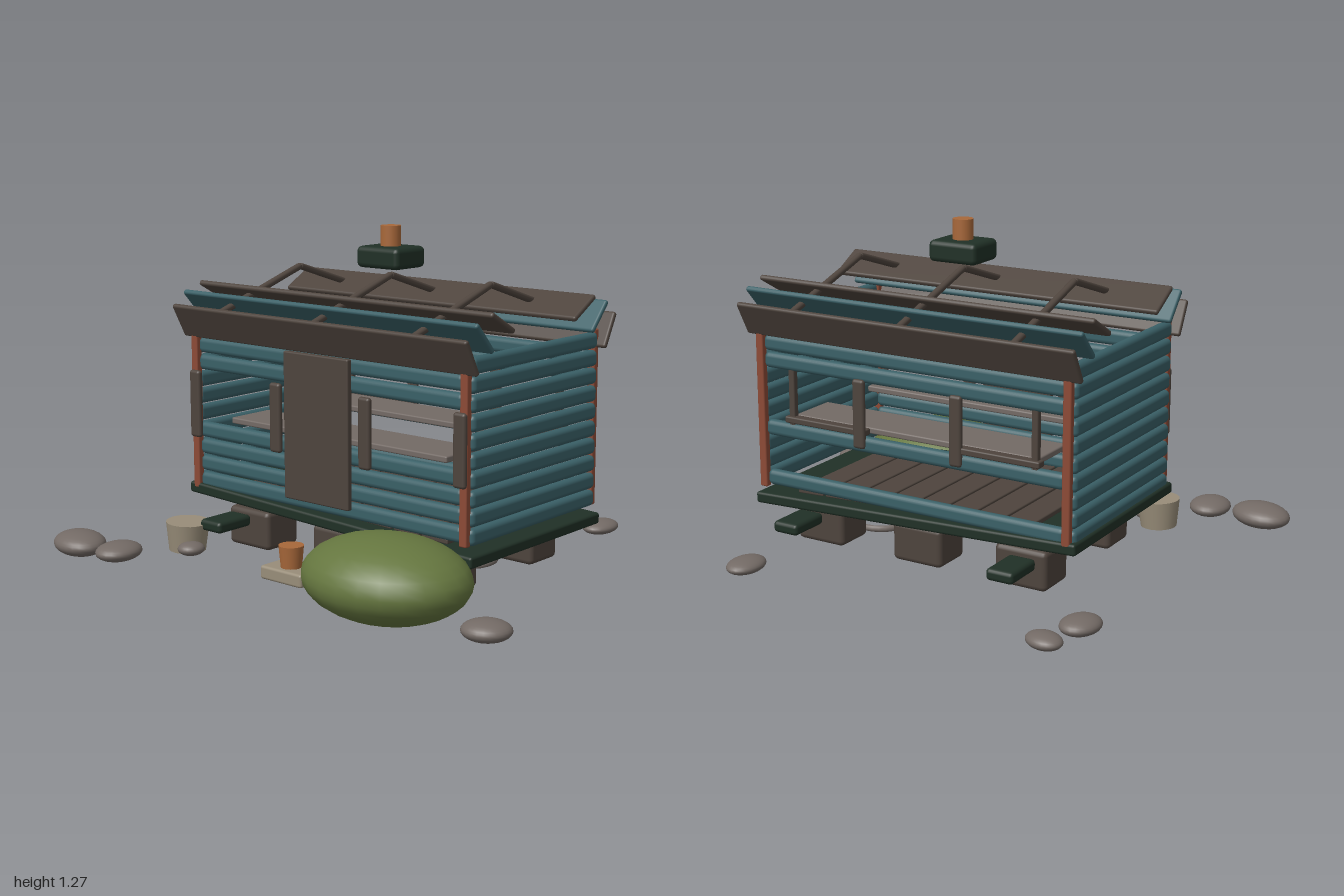
import * as THREE from 'three';
import { RoundedBoxGeometry } from 'three/addons/geometries/RoundedBoxGeometry.js';

const paint = (name, color) => {
  const m = new THREE.MeshStandardMaterial({ color });
  m.name = name;
  return m;
};

export function createModel() {
  const teal = paint('teal log', 0x3a6067);
  const brown = paint('dark wood', 0x4e443d);
  const green = paint('dark green', 0x203026);
  const rust = paint('rust post', 0x8c4a36);
  const copper = paint('copper', 0xa8683a);
  const tan = paint('tan', 0x988d79);
  const stone = paint('stone', 0x736a65);
  const moss = paint('bush green', 0x65763f);

  const model = new THREE.Group();
  const CX = 0.015, CZ = -0.05; // centre of the cabin

  const add = (name, geo, mat, x, y, z, parent = model) => {
    const m = new THREE.Mesh(geo, mat);
    m.name = name;
    m.position.set(x, y, z);
    parent.add(m);
    return m;
  };
  const box = (name, mat, w, h, d, x, y, z, r = 0.008, parent = model) =>
    add(name, new RoundedBoxGeometry(w, h, d, 2, Math.min(r, w * 0.48, h * 0.48, d * 0.48)), mat, x, y, z, parent);
  const group = (name) => {
    const g = new THREE.Group();
    g.name = name;
    model.add(g);
    return g;
  };

  // Foundation blocks and short beam ends
  for (const sx of [-1, 0, 1])
    for (const sz of [-1, 1])
      box('foundationBlock', brown, 0.21, 0.15, 0.168, 0.02 + sx * 0.435, 0.115, -0.045 + sz * 0.245, 0.02);
  for (const sx of [-1, 1])
    for (const sz of [-1, 1])
      box('beamEnd', green, 0.108, 0.044, 0.17, CX + sx * 0.457, 0.153, CZ - 0.003 + sz * 0.43, 0.015);

  // Sagging floor: slab and planks
  const floor = group('floor');
  floor.position.set(CX, 0.226, CZ);
  floor.rotation.z = -0.038;
  box('floorSlab', green, 1.37, 0.043, 0.79, 0, 0, 0, 0.01, floor);
  for (let i = 0; i < 8; i++)
    box('floorPlank', brown, 0.116, 0.02, 0.66, -0.415 + i * 0.127, 0.03, 0, 0.005, floor);

  // Log walls
  const logY = (k) => 0.281 + k * 0.0655;
  const walls = group('walls');
  for (const s of [-1, 1])
    for (let k = 0; k < 10; k++)
      box('sideLog', teal, 0.04, 0.061, 0.75, CX + s * 0.655, logY(k), CZ, 0.019, walls);
  for (const k of [0, 1, 2, 3, 7, 8])
    box('frontLog', teal, 1.27, 0.06, 0.04, CX, logY(k) + 0.006, 0.315, 0.019, walls);
  for (const k of [0, 3, 7, 8])
    box('backLog', teal, 1.27, 0.06, 0.04, CX, logY(k) + 0.006, -0.415, 0.019, walls);

  // Corner posts
  for (const sx of [-1, 1])
    for (const sz of [-1, 1])
      box('cornerPost', rust, 0.032, 0.66, 0.028, CX + sx * 0.646, 0.58, CZ + sz * 0.381, 0.006);

  // Door, shutters, window frames, inner shelves
  box('door', brown, 0.31, 0.545, 0.024, CX, 0.57, 0.358, 0.006);
  for (const sx of [-1, 1]) {
    for (const dx of [0.215, 0.636])
      box('frontShutter', brown, 0.053, 0.26, 0.024, CX + sx * dx, 0.585, 0.347, 0.012);
    box('backShutter', brown, 0.05, 0.26, 0.024, CX + sx * 0.205, 0.6, -0.435, 0.012);
    box('backWindowPost', brown, 0.026, 0.23, 0.026, CX + sx * 0.515, 0.62, -0.415, 0.006);
    box('backWindowSill', brown, 0.36, 0.025, 0.04, CX + sx * 0.36, 0.53, -0.42, 0.006);
  }
  for (const s of [-1, 1])
    box('shelf', stone, 1.04, 0.024, 0.2, CX + 0.01, 0.526, CZ + s * 0.235, 0.006);

  // Rafters: thin poles from ridge to eaves
  for (const dx of [-0.46, 0, 0.46])
    for (const s of [-1, 1]) {
      const r = box('rafter', brown, 0.026, 0.025, 0.47, CX + dx, 1.022, CZ + s * 0.219, 0.011);
      r.rotation.x = s * 0.31;
    }

  // Roof boards, each lifted at the outer edge: inner z, y to outer z, y
  const boards = [
    ['innerRoofBoard', brown, 0.185, 0.97, 0.305, 1.037],
    ['middleRoofBoard', teal, 0.302, 0.915, 0.388, 1.01],
    ['outerRoofBoard', brown, 0.385, 0.848, 0.445, 0.962],
  ];
  for (const [name, mat, z0, y0, z1, y1] of boards)
    for (const s of [-1, 1]) {
      const len = Math.hypot(z1 - z0, y1 - y0) + 0.012;
      const b = box(name, mat, 1.4, 0.021, len, CX, (y0 + y1) / 2, CZ + s * (z0 + z1) / 2, 0.009);
      b.rotation.x = -s * Math.atan2(y1 - y0, z1 - z0);
    }

  // Chimney
  box('chimneyBase', green, 0.2, 0.08, 0.17, CX, 1.16, -0.05, 0.02);
  add('chimneyPipe', new THREE.CylinderGeometry(0.038, 0.038, 0.085, 20), copper, CX, 1.233, -0.05);

  // Front step with a small pot
  box('stepTray', tan, 0.2, 0.05, 0.135, CX, 0.07, 0.492, 0.01);
  add('pot', new THREE.CylinderGeometry(0.046, 0.038, 0.085, 20), copper, CX, 0.133, 0.5);

  // Bucket and the hoop below the floor
  const bucket = add('bucket', new THREE.CylinderGeometry(0.083, 0.07, 0.11, 20), tan, -0.562, 0.1, 0.462);
  bucket.rotation.z = -0.04;
  const hoop = add('hoop', new THREE.TorusGeometry(0.09, 0.013, 8, 24), stone, 0.36, 0.058, -0.105);
  hoop.rotation.x = Math.PI / 2 + 0.05;

  // Bush and rocks: squashed spheres
  const blob = (name, mat, x, y, z, rx, ry, rz, turn = 0) => {
    const m = add(name, new THREE.SphereGeometry(1, 24, 16), mat, x, y, z);
    m.scale.set(rx, ry, rz);
    m.rotation.y = turn;
  };
  blob('bush', moss, 0.477, 0.152, 0.522, 0.317, 0.148, 0.258);
  const rocks = [
    [-0.885, 0.067, 0.72, 0.122, 0.047, 0.095, -0.3],
    [-0.675, 0.07, 0.708, 0.08, 0.036, 0.096, 0.1],
    [0.913, 0.067, 0.54, 0.086, 0.037, 0.078, 0.5],
    [-0.493, 0.07, 0.51, 0.05, 0.026, 0.052, 0],
    [0.505, 0.07, -0.755, 0.063, 0.028, 0.086, 0],
    [-0.737, 0.07, -0.777, 0.07, 0.028, 0.055, -0.3],
    [-0.778, 0.068, -0.6, 0.067, 0.032, 0.083, -0.2],
  ];
  for (const r of rocks) blob('rock', stone, ...r);

  return model;
}
